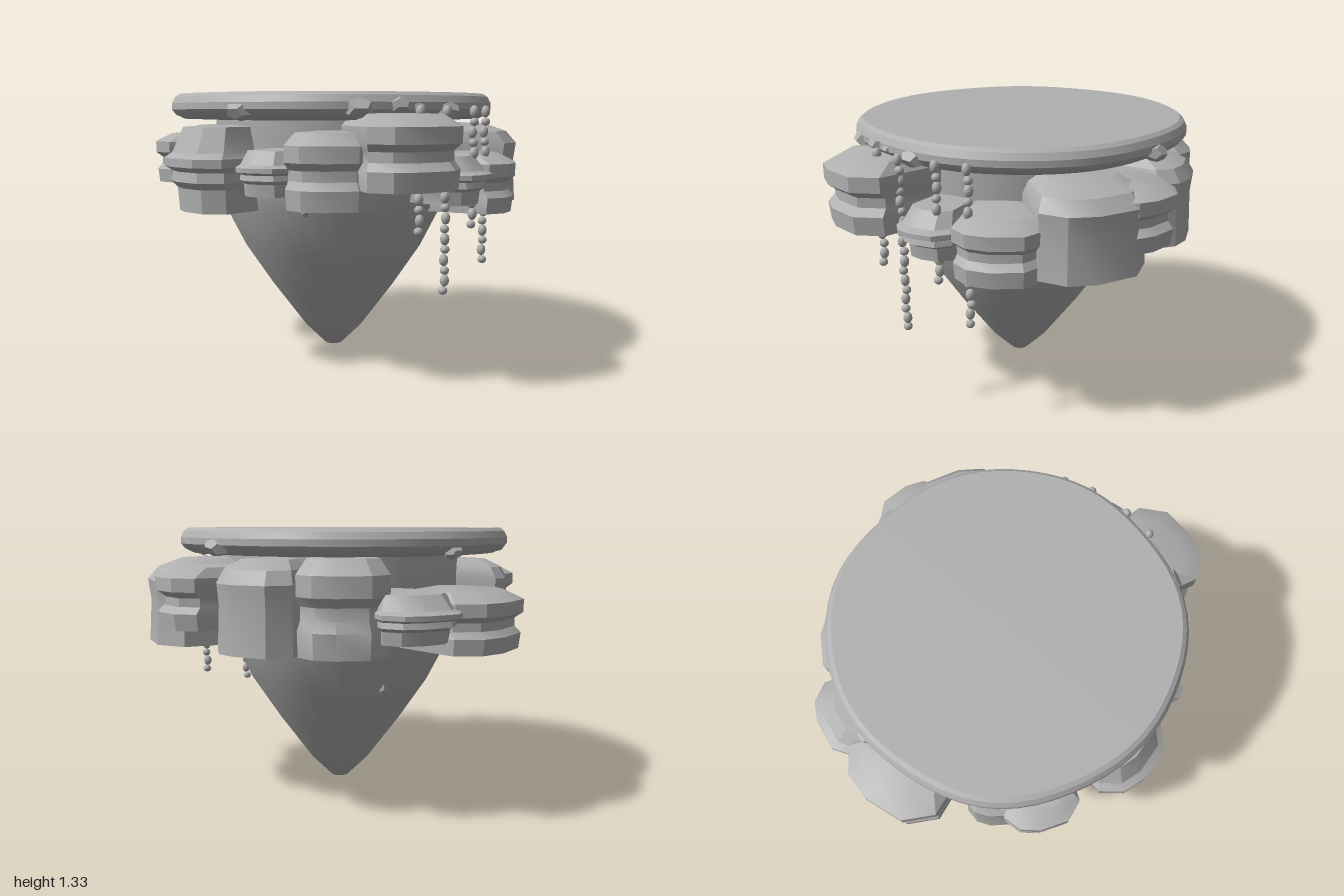
import * as THREE from 'three';
import { toCreasedNormals } from 'three/addons/utils/BufferGeometryUtils.js';

const stone = new THREE.MeshStandardMaterial({ color: 0xb0b0b0 });
stone.name = 'grey stone';

const CX = -0.05, CZ = -0.04; // island axis

// Strata profiles, bottom to top: [height fraction, outline scale]
const CHUNK = [[0, 0.96], [0.27, 0.98], [0.38, 0.91], [0.52, 0.91], [0.62, 1], [0.84, 1], [1, 0.78]];
const BLOCK = [[0, 1], [0.5, 0.97], [0.75, 1], [0.9, 0.88], [1, 0.62]];
const SLAB = [[0, 0.82], [0.28, 0.84], [0.36, 0.92], [0.48, 0.9], [0.54, 1], [0.64, 1], [0.7, 0.9], [1, 0.75]];

function mesh(name, geometry) {
  const m = new THREE.Mesh(geometry, stone);
  m.name = name;
  return m;
}

// Layered rock reaching out along local +x to radius r, half-width w along z
function rock(r, w, y0, y1, strata) {
  const anchor = 0.55;
  const ring = [[0.48, -0.8], [r - 0.55 * w, -1], [r - 0.1 * w, -0.6], [r, 0.15],
    [r - 0.12 * w, 0.65], [r - 0.5 * w, 1], [0.48, 0.8]];
  const n = ring.length;
  const levels = strata.map(([t, s]) => ring.map(([x, z]) =>
    [anchor + (x - anchor) * s, y0 + (y1 - y0) * t, z * w * s]));
  const pos = [];
  const bottom = levels[0], top = levels[levels.length - 1];
  for (let i = 0; i < n; i++) {
    const j = (i + 1) % n;
    for (let l = 0; l < levels.length - 1; l++) {
      const a = levels[l], b = levels[l + 1];
      pos.push(...a[i], ...b[i], ...b[j], ...a[i], ...b[j], ...a[j]);
    }
    pos.push(anchor, y0, 0, ...bottom[i], ...bottom[j]);
    pos.push(anchor, y1 + 0.01, 0, ...top[j], ...top[i]);
  }
  const g = new THREE.BufferGeometry();
  g.setAttribute('position', new THREE.Float32BufferAttribute(pos, 3));
  return toCreasedNormals(g, 0.5);
}

function lathe(profile, segments) {
  return new THREE.LatheGeometry(profile.map(([r, y]) => new THREE.Vector2(r, y)), segments);
}

// Strand of beads hanging from the rim
function strand(x, z, yEnd) {
  const g = new THREE.Group();
  g.name = 'hangingVine';
  const bead = new THREE.IcosahedronGeometry(0.025, 1);
  for (let y = 1.24, i = 0; y > yEnd; y -= 0.047, i++) {
    const b = mesh('vineBead', bead);
    b.position.set(x + 0.004 * Math.sin(i * 2.1), y, z + 0.004 * Math.cos(i * 1.7));
    b.scale.set(0.85, i % 2 ? 0.8 : 1.15, 0.85);
    b.rotation.y = i;
    g.add(b);
  }
  return g;
}

export function createModel() {
  const model = new THREE.Group();
  model.name = 'floatingIsland';

  // Tapering core
  const core = mesh('islandCore', lathe([[0, 0], [0.045, 0.015], [0.15, 0.12], [0.32, 0.35],
    [0.46, 0.56], [0.57, 0.78], [0.6, 0.95], [0.6, 1.25]], 40));
  core.position.set(-0.04, 0, -0.025);
  model.add(core);

  // Flat top with a slightly wavy rim
  const discGeo = lathe([[0, 1.2], [0.6, 1.2], [0.75, 1.205], [0.79, 1.225], [0.81, 1.25],
    [0.81, 1.28], [0.795, 1.31], [0.775, 1.325], [0, 1.328]], 64);
  const p = discGeo.attributes.position;
  for (let i = 0; i < p.count; i++) {
    const a = Math.atan2(p.getZ(i), p.getX(i));
    const k = 1 + 0.01 * Math.sin(4 * a) + 0.006 * Math.cos(7 * a);
    p.setX(i, p.getX(i) * k);
    p.setZ(i, p.getZ(i) * k);
  }
  const disc = mesh('topPlateau', toCreasedNormals(discGeo, 0.45));
  disc.position.set(CX, 0, CZ);
  model.add(disc);

  // Rim rocks: degrees from +x towards +z, reach, half-width, bottom, top, strata
  [
    [3, 0.98, 0.26, 0.78, 1.18, BLOCK],
    [31, 0.95, 0.2, 0.76, 1.04, CHUNK],
    [54, 0.93, 0.14, 0.82, 1.04, SLAB],
    [79, 1.03, 0.23, 0.91, 1.23, CHUNK],
    [102, 0.87, 0.2, 0.82, 1.15, CHUNK],
    [125, 0.83, 0.13, 0.87, 1.07, SLAB],
    [154, 0.9, 0.22, 0.78, 1.17, SLAB],
    [189, 0.9, 0.17, 0.89, 1.13, CHUNK],
    [204, 0.83, 0.13, 0.8, 1.17, BLOCK],
    [239, 0.97, 0.26, 0.78, 1.05, CHUNK],
    [266, 0.965, 0.2, 0.84, 1.05, SLAB],
    [289, 0.87, 0.2, 0.78, 1.2, CHUNK],
    [319, 0.88, 0.2, 0.78, 1.19, BLOCK],
    [347, 0.98, 0.18, 0.87, 1.15, CHUNK],
  ].forEach(([angle, ...shape]) => {
    const m = mesh('rimRock', rock(...shape));
    m.position.set(CX, 0, CZ);
    m.rotation.y = -THREE.MathUtils.degToRad(angle);
    model.add(m);
  });

  // Small stones tucked under the rim: angle, height, size
  const pebble = new THREE.DodecahedronGeometry(1, 0);
  [[2.31, 1.24, 0.07], [1.63, 1.255, 0.08], [1.4, 1.27, 0.06], [1.28, 1.26, 0.04], [1.06, 1.245, 0.07],
    [-0.44, 1.24, 0.07], [3.5, 1.24, 0.06], [-1.9, 1.22, 0.05]].forEach(([a, y, s], i) => {
    const m = mesh('rimPebble', pebble);
    m.position.set(CX + Math.cos(a) * 0.78, y, CZ + Math.sin(a) * 0.78);
    m.scale.set(s * 0.8, s * 0.6, s);
    m.rotation.set(0.2 * Math.sin(i), -a, 0.2 * Math.cos(i));
    model.add(m);
  });

  // Stones stuck in the core
  [[-0.1, 0.58, -0.47], [-0.29, 0.81, 0.53]].forEach(([x, y, z]) => {
    const m = mesh('coreStone', pebble);
    m.position.set(x, y, z);
    m.scale.set(0.025, 0.045, 0.03);
    model.add(m);
  });

  // Hanging strands: x, z, lowest height
  [[0.17, 0.76, 0.72], [0.31, 0.705, 0.42], [0.48, 0.595, 0.72], [0.58, 0.49, 0.52]]
    .forEach(([x, z, y]) => model.add(strand(x, z, y)));

  return model;
}
